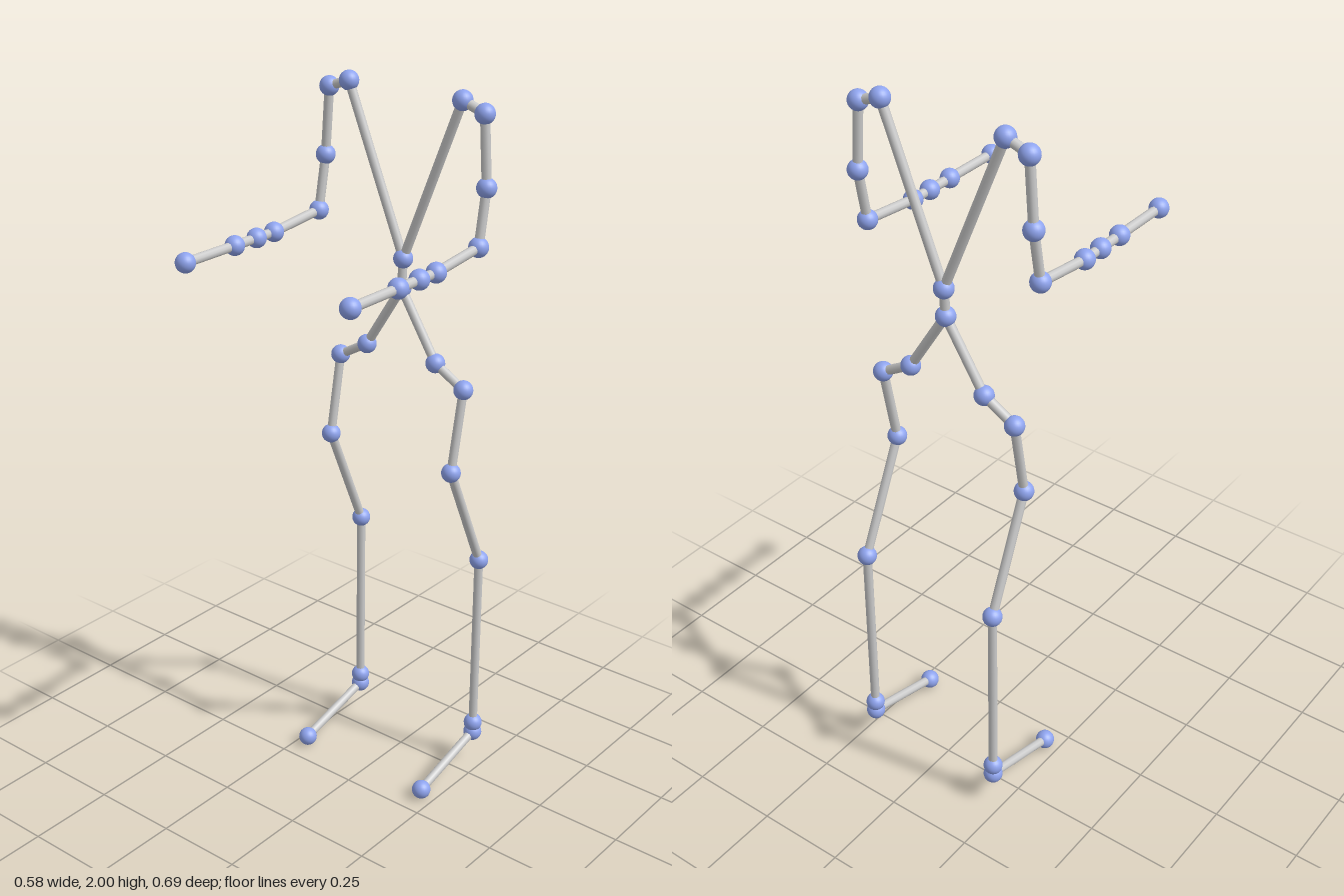
import * as THREE from 'three';

const JOINT_R = 0.0265, ROD_R = 0.0128;

// joint positions on the left (+x) side, mirrored for the right
const spine = { spineBase: [0, 1.45, -0.222], spineTop: [0, 1.53, -0.227] };
const arm = {
  collar: [0.18, 1.9735, -0.223],
  shoulder: [0.247, 1.95, -0.224],
  elbow: [0.26, 1.767, -0.223],
  wrist: [0.261, 1.621, -0.195],
  palm: [0.263, 1.602, -0.015],
  knuckle: [0.263, 1.602, 0.053],
  finger: [0.263, 1.602, 0.136],
  fingertip: [0.263, 1.602, 0.316],
};
const leg = {
  pelvis: [0.116, 1.265, -0.222],
  hip: [0.209, 1.212, -0.222],
  thigh: [0.208, 0.987, -0.178],
  knee: [0.212, 0.667, -0.319],
  ankle: [0.212, 0.127, -0.318],
  heel: [0.212, 0.095, -0.318],
  toe: [0.213, 0.0265, -0.068],
};

export function createModel() {
  const model = new THREE.Group();
  const grey = new THREE.MeshStandardMaterial({ color: 0xcccccc });
  const blue = new THREE.MeshStandardMaterial({ color: 0x8fa4ee });
  const ball = new THREE.SphereGeometry(JOINT_R, 24, 16);
  const up = new THREE.Vector3(0, 1, 0);

  function addJoint(parent, name, p) {
    const joint = new THREE.Mesh(ball, blue);
    joint.name = name + 'Joint';
    joint.position.copy(p);
    parent.add(joint);
  }

  // rod spanning two joint centres
  function addRod(parent, name, a, b) {
    const dir = b.clone().sub(a);
    const rod = new THREE.Mesh(new THREE.CylinderGeometry(ROD_R, ROD_R, dir.length(), 10), grey);
    rod.name = name + 'Rod';
    rod.position.copy(a).lerp(b, 0.5);
    rod.quaternion.setFromUnitVectors(up, dir.normalize());
    parent.add(rod);
  }

  // chain of joints, each linked by a rod to the one before it
  function addLimb(name, joints, side, root) {
    const limb = new THREE.Group();
    limb.name = name;
    let previous = root;
    for (const [key, [x, y, z]] of Object.entries(joints)) {
      const p = new THREE.Vector3(x * side, y, z);
      addJoint(limb, key, p);
      if (previous) addRod(limb, key, previous, p);
      previous = p;
    }
    model.add(limb);
  }

  addLimb('spine', spine, 1, null);
  const top = new THREE.Vector3(...spine.spineTop);
  const base = new THREE.Vector3(...spine.spineBase);
  for (const [side, label] of [[1, 'left'], [-1, 'right']]) {
    addLimb(label + 'Arm', arm, side, top);
    addLimb(label + 'Leg', leg, side, base);
  }
  return model;
}
